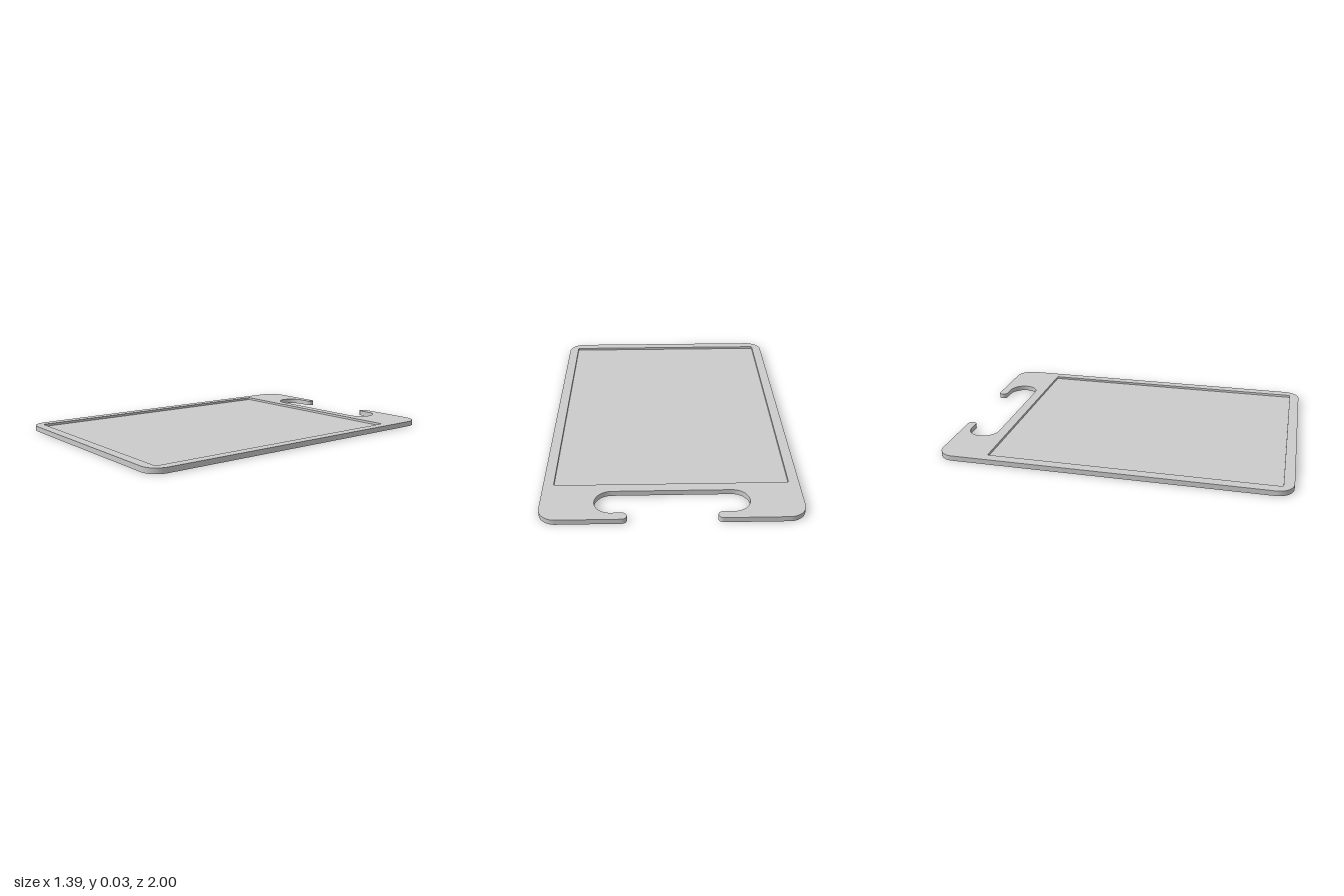
import * as THREE from 'three';
import { toCreasedNormals } from 'three/addons/utils/BufferGeometryUtils.js';

const PI = Math.PI;
const HALF_W = 0.695, HALF_L = 1, THICK = 0.03, FLOOR = 0.016;

// Rounded rectangle, counter-clockwise
function roundedRect(path, x0, y0, x1, y1, r) {
  path.absarc(x1 - r, y0 + r, r, -PI / 2, 0, false);
  path.absarc(x1 - r, y1 - r, r, 0, PI / 2, false);
  path.absarc(x0 + r, y1 - r, r, PI / 2, PI, false);
  path.absarc(x0 + r, y0 + r, r, PI, PI * 1.5, false);
  path.closePath();
  return path;
}

// Board outline with the open, round-ended handle slot in the back edge
function boardOutline() {
  const r = 0.095, tipR = 0.026, tipX = 0.261, slotR = 0.089, slotX = 0.322;
  const tipY = HALF_L - tipR, slotY = HALF_L - 2 * tipR - slotR;
  const s = new THREE.Shape();
  s.absarc(HALF_W - r, -HALF_L + r, r, -PI / 2, 0, false);
  s.absarc(HALF_W - r, HALF_L - r, r, 0, PI / 2, false);
  s.absarc(tipX, tipY, tipR, PI / 2, PI * 1.5, false);
  s.absarc(slotX, slotY, slotR, PI / 2, -PI / 2, true);
  s.absarc(-slotX, slotY, slotR, PI * 1.5, PI / 2, true);
  s.absarc(-tipX, tipY, tipR, -PI / 2, PI / 2, false);
  s.absarc(-HALF_W + r, HALF_L - r, r, PI / 2, PI, false);
  s.absarc(-HALF_W + r, -HALF_L + r, r, PI, PI * 1.5, false);
  s.closePath();
  return s;
}

// Extrude a plan shape upwards from the ground
function slab(name, shape, depth, material) {
  const geo = new THREE.ExtrudeGeometry(shape, { depth, bevelEnabled: false, curveSegments: 16 });
  geo.rotateX(-PI / 2);
  const mesh = new THREE.Mesh(toCreasedNormals(geo, PI / 6), material);
  mesh.name = name;
  return mesh;
}

export function createModel() {
  const group = new THREE.Group();
  group.name = 'cuttingBoard';
  const material = new THREE.MeshStandardMaterial({ color: 0xcccccc });
  const recess = [-0.638, -0.942, 0.638, 0.71, 0.008];

  // Raised frame with handle slot, around the recessed area
  const frame = boardOutline();
  frame.holes.push(roundedRect(new THREE.Path(), ...recess));
  group.add(slab('frame', frame, THICK, material));

  // Sunken cutting surface
  const panel = roundedRect(new THREE.Shape(), ...recess);
  group.add(slab('cuttingSurface', panel, FLOOR, material));

  return group;
}
